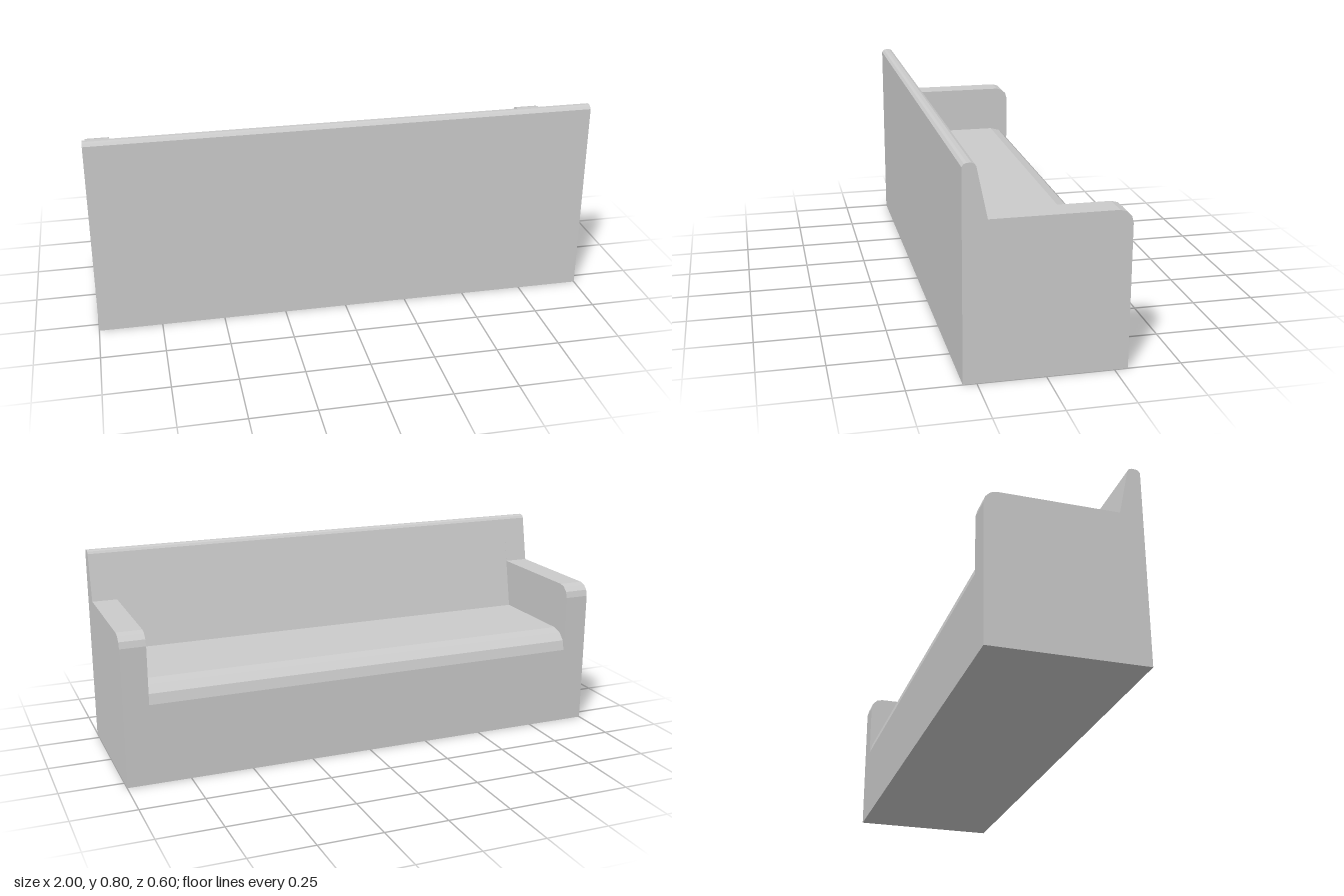
import * as THREE from 'three';

const material = new THREE.MeshStandardMaterial({ color: 0xcccccc, flatShading: true });

// Backrest outline from its foot over the rounded top and down to the floor, as [z, y]
const backTop = [[0.25, 0.787], [0.256, 0.796], [0.266, 0.8], [0.281, 0.8], [0.2915, 0.797], [0.3, 0.787], [0.3, 0]];

// Side profile: floor, rounded front edge, flat top, then the backrest
function profile(top, radius, backZ) {
  const points = [[-0.3, 0]];
  for (let i = 0; i <= 3; i++) {
    const a = (i / 3) * Math.PI / 2;
    points.push([-0.3 + radius * (1 - Math.cos(a)), top - radius * (1 - Math.sin(a))]);
  }
  points.push([backZ, top], ...backTop);
  return new THREE.Shape(points.map(([z, y]) => new THREE.Vector2(-z, y)));
}

// Sweep a side profile along x
function sweep(name, shape, width, x) {
  const geometry = new THREE.ExtrudeGeometry(shape, { depth: width, bevelEnabled: false });
  geometry.translate(0, 0, -width / 2).rotateY(Math.PI / 2);
  const mesh = new THREE.Mesh(geometry, material);
  mesh.name = name;
  mesh.position.x = x;
  return mesh;
}

export function createModel() {
  const sofa = new THREE.Group();
  sofa.name = 'sofa';

  // Seat with its backrest, between the arms
  sofa.add(sweep('seatAndBackrest', profile(0.4, 0.08, 0.17), 1.8, 0));

  // Arms, each with the end of the backrest
  const arm = profile(0.6, 0.05, 0.211);
  for (const side of [-1, 1]) {
    sofa.add(sweep(side > 0 ? 'leftArm' : 'rightArm', arm, 0.1, side * 0.95));
  }
  return sofa;
}
